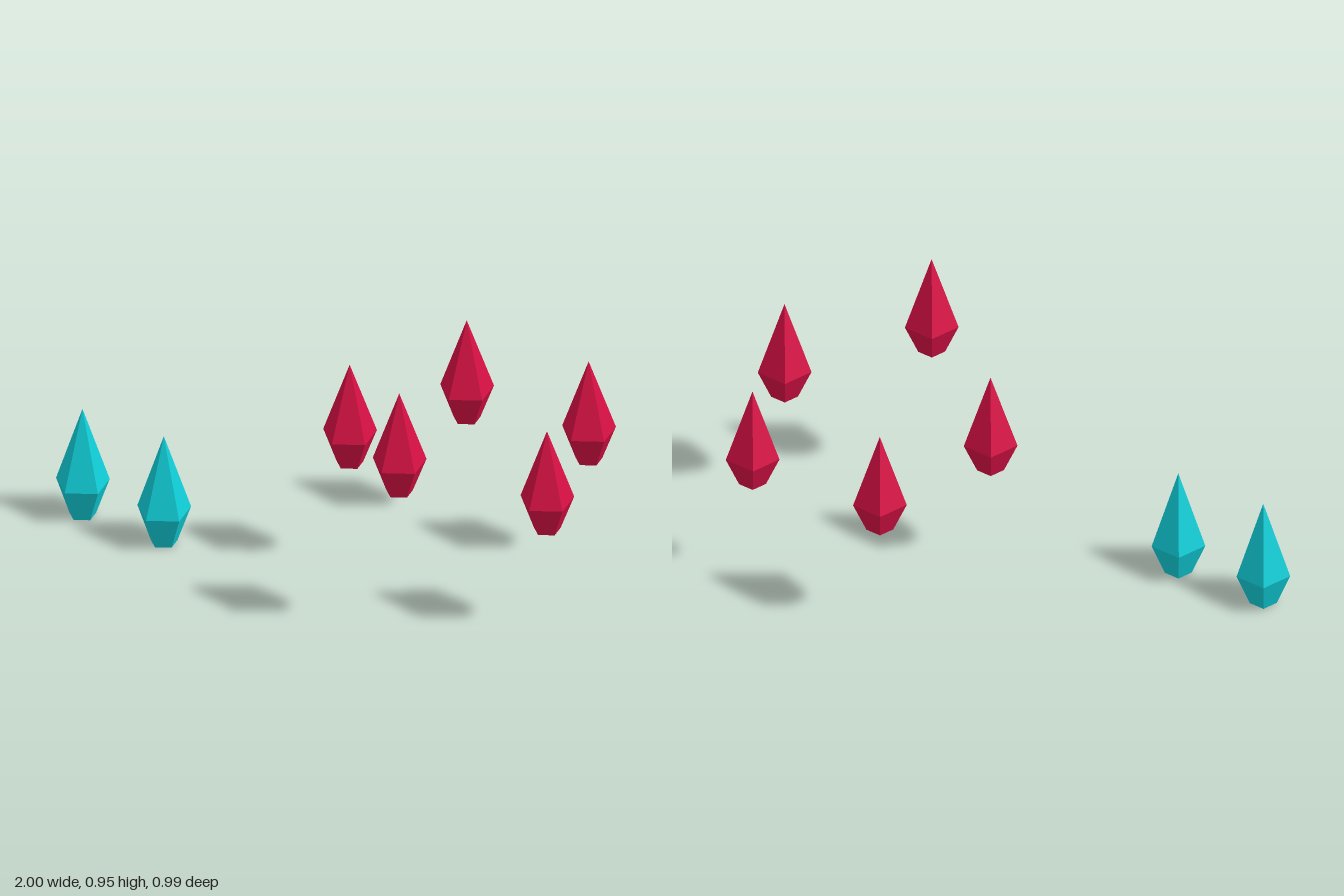
import * as THREE from 'three';

const SIDES = 5;
const TWIST = THREE.MathUtils.degToRad(-4.5);

// Faceted gem: small flat base, wide girdle, tall point
function gemGeometry(girdleY, tipY) {
  const profile = [[0, 0], [0.05, 0], [0.1, girdleY], [0, tipY]]
    .map(([r, y]) => new THREE.Vector2(r, y));
  const geometry = new THREE.LatheGeometry(profile, SIDES).toNonIndexed();
  geometry.computeVertexNormals(); // flat facets
  return geometry;
}

export function createModel() {
  const model = new THREE.Group();
  model.name = 'floatingGems';

  const crimson = new THREE.MeshStandardMaterial({ color: 0xd81044 });
  crimson.name = 'crimson';
  const turquoise = new THREE.MeshStandardMaterial({ color: 0x10ced8 });
  turquoise.name = 'turquoise';

  const addGem = (name, geometry, material, x, y, z) => {
    const gem = new THREE.Mesh(geometry, material);
    gem.name = name;
    gem.position.set(x, y, z);
    gem.rotation.y = TWIST;
    model.add(gem);
  };

  // Ring of five crimson gems, the front one raised
  const redGem = gemGeometry(0.12, 0.4);
  const ringRadius = 0.445;
  for (let i = 0; i < 5; i++) {
    const angle = (i / 5) * Math.PI * 2;
    addGem(`crimsonGem${i + 1}`, redGem, crimson,
      0.483 + Math.sin(angle) * ringRadius,
      i === 0 ? 0.555 : 0.393,
      -0.048 + Math.cos(angle) * ringRadius);
  }

  // Pair of turquoise gems standing on the ground
  const blueGem = gemGeometry(0.13, 0.43);
  [-0.904, -0.555].forEach((x, i) =>
    addGem(`turquoiseGem${i + 1}`, blueGem, turquoise, x, 0, 0.356));

  return model;
}
